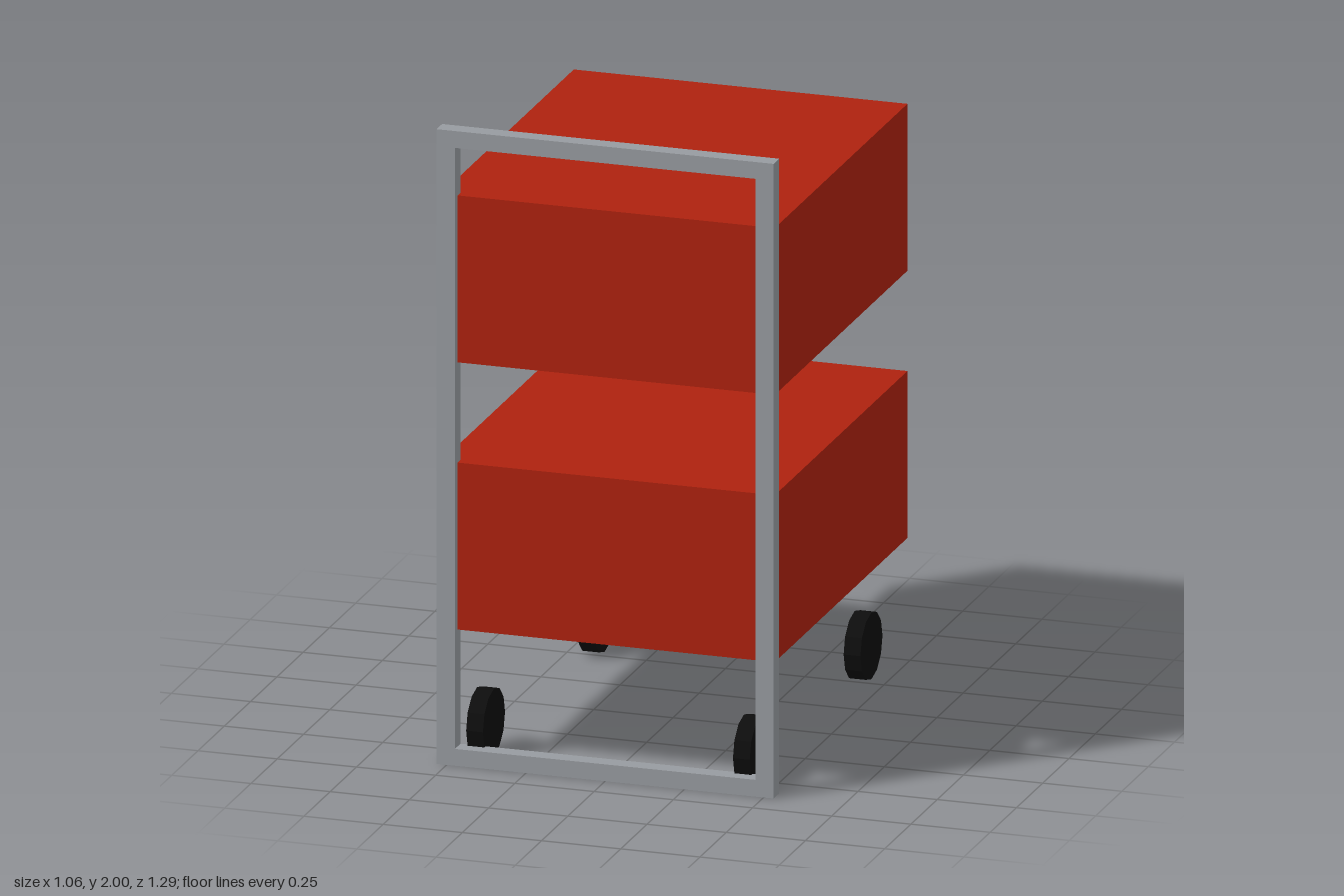
import * as THREE from 'three';

const red = new THREE.MeshStandardMaterial({ color: 0xae220f });
red.name = 'red';
const grey = new THREE.MeshStandardMaterial({ color: 0x979ba0 });
grey.name = 'metal grey';
const black = new THREE.MeshStandardMaterial({ color: 0x0d0d0d });
black.name = 'wheel black';

export function createModel() {
  const model = new THREE.Group();
  model.name = 'trolley';
  const add = (name, geometry, material, x, y, z) => {
    const mesh = new THREE.Mesh(geometry, material);
    mesh.name = name;
    mesh.position.set(x, y, z);
    model.add(mesh);
  };

  // Two stacked boxes, their front ends set into the frame
  const box = new THREE.BoxGeometry(1.053, 0.526, 1.263);
  add('lowerBox', box, red, 0, 0.684, -0.013);
  add('upperBox', box, red, 0, 1.526, -0.013);

  // Rectangular push frame with an open middle
  const outline = new THREE.Shape();
  outline.moveTo(-0.532, 0).lineTo(0.532, 0).lineTo(0.532, 2).lineTo(-0.532, 2).closePath();
  const opening = new THREE.Path();
  opening.moveTo(-0.474, 0.053).lineTo(-0.474, 1.947).lineTo(0.474, 1.947).lineTo(0.474, 0.053).closePath();
  outline.holes.push(opening);
  const frame = new THREE.ExtrudeGeometry(outline, { depth: 0.053, bevelEnabled: false });
  add('pushFrame', frame, grey, 0, 0, 0.592);

  // Four twelve-sided wheels
  const wheel = new THREE.CylinderGeometry(0.105, 0.105, 0.053, 12).toNonIndexed();
  wheel.rotateZ(Math.PI / 2);
  wheel.computeVertexNormals();
  for (const [side, x] of [['Left', 0.421], ['Right', -0.421]]) {
    add('front' + side + 'Wheel', wheel, black, x, 0.105, 0.513);
    add('rear' + side + 'Wheel', wheel, black, x, 0.105, -0.54);
  }
  return model;
}
